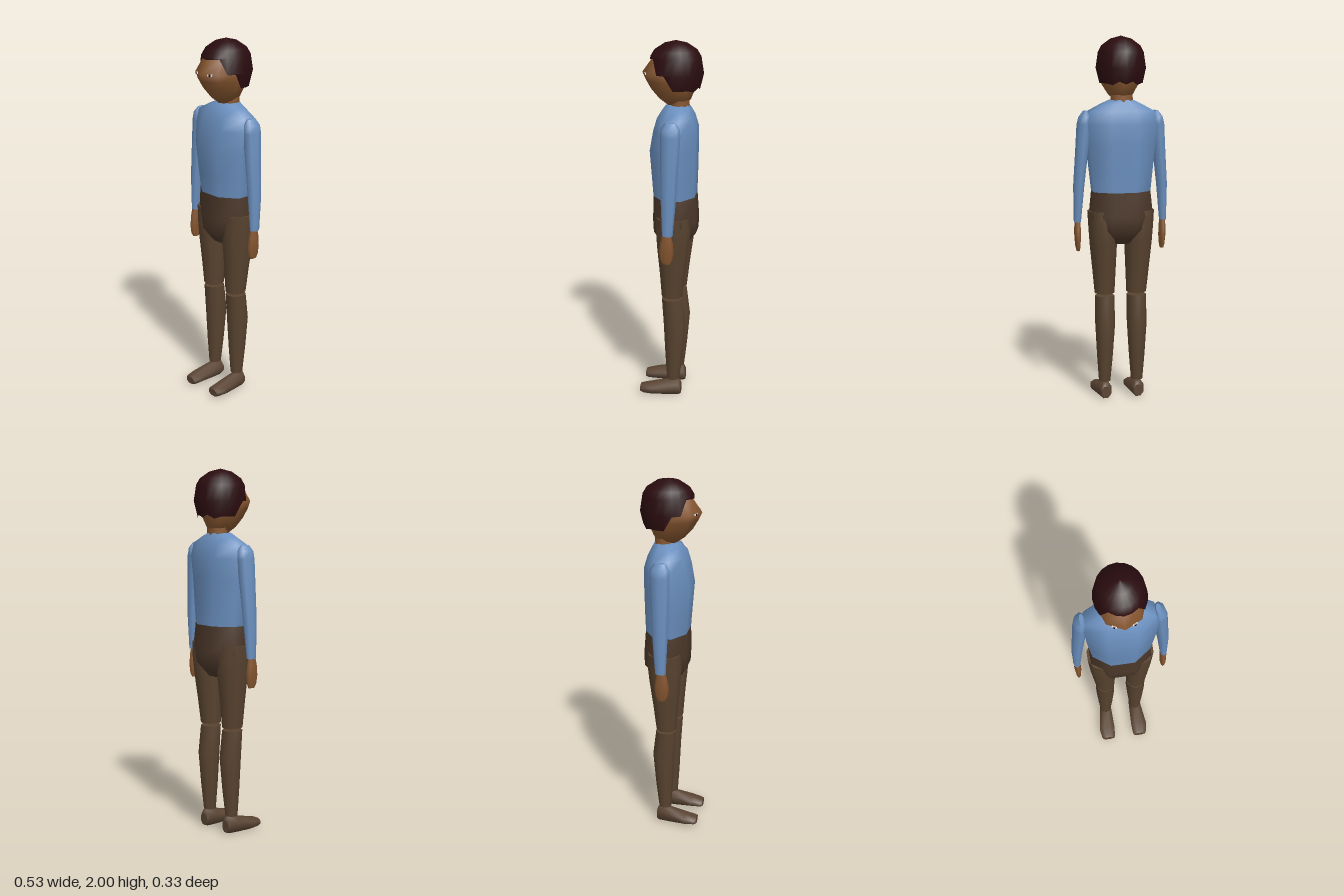
import * as THREE from 'three';

const mat = (name, color, side = THREE.FrontSide) => {
  const m = new THREE.MeshStandardMaterial({ color, side });
  m.name = name;
  return m;
};

// Smooth skin over a grid: n points around, m rings upwards, flat caps if wanted
function skin(n, m, point, capped = true) {
  const pos = [], idx = [];
  for (let j = 0; j < m; j++)
    for (let i = 0; i < n; i++) pos.push(...point(i, j));
  for (let j = 0; j < m - 1; j++)
    for (let i = 0; i < n; i++) {
      const k = (i + 1) % n, a = j * n + i, b = j * n + k;
      idx.push(a, b, b + n, a, b + n, a + n);
    }
  if (capped) for (const j of [0, m - 1]) {
    const base = pos.length / 3, mid = [0, 0, 0];
    for (let i = 0; i < n; i++) {
      const p = point(i, j);
      pos.push(...p);
      p.forEach((v, c) => { mid[c] += v / n; });
    }
    pos.push(...mid);
    for (let i = 0; i < n; i++) {
      const a = base + i, b = base + (i + 1) % n;
      idx.push(base + n, ...(j ? [a, b] : [b, a]));
    }
  }
  const g = new THREE.BufferGeometry();
  g.setAttribute('position', new THREE.Float32BufferAttribute(pos, 3));
  g.setIndex(idx);
  g.computeVertexNormals();
  return g;
}

// Rings: [y, half width, z back, z front, centre x]; half = flats face the axes
function loft(rings, n, half = false, sx = 1) {
  const k = half ? 1 / Math.cos(Math.PI / n) : 1;
  return skin(n, rings.length, (i, j) => {
    const [y, w, z0, z1, x = 0] = rings[j];
    const a = (i + (half ? 0.5 : 0)) / n * Math.PI * 2;
    return [x * sx + w * k * Math.sin(a), y, (z0 + z1) / 2 + (z1 - z0) / 2 * k * Math.cos(a)];
  });
}

export function createModel() {
  const group = new THREE.Group();
  const shirt = mat('shirt blue', 0x6a8fbe);
  const trousers = mat('trouser brown', 0x58432f);
  const hips = mat('hip brown', 0x4c382a);
  const shoe = mat('shoe brown', 0x5a4433);
  const flesh = mat('skin', 0x85552f);
  const hairMat = mat('hair', 0x2a0c0f, THREE.DoubleSide);
  const white = mat('eye white', 0xe8e4dc);
  const add = (name, geometry, material) => {
    const mesh = new THREE.Mesh(geometry, material);
    mesh.name = name;
    group.add(mesh);
    return mesh;
  };

  // Trunk
  add('torso', loft([
    [1.16, 0.155, -0.13, 0.092], [1.28, 0.168, -0.133, 0.1], [1.42, 0.182, -0.135, 0.11],
    [1.53, 0.19, -0.135, 0.09], [1.6, 0.178, -0.115, 0.07], [1.64, 0.105, -0.098, 0.046],
    [1.66, 0.062, -0.088, 0.03],
  ], 8, true), shirt);
  add('hips', loft([
    [0.88, 0.06, -0.08, 0.04], [0.91, 0.1, -0.1, 0.062], [0.96, 0.148, -0.138, 0.092],
    [1.03, 0.17, -0.14, 0.094], [1.165, 0.156, -0.131, 0.093],
  ], 8, true), hips);

  // Neck and head
  add('neck', loft([[1.62, 0.065, -0.095, 0.01], [1.73, 0.058, -0.09, 0.01]], 8), flesh);
  add('head', loft([
    [1.657, 0.03, -0.055, 0.025], [1.69, 0.07, -0.1, 0.07], [1.74, 0.1, -0.12, 0.113],
    [1.79, 0.12, -0.13, 0.142], [1.83, 0.124, -0.135, 0.16], [1.9, 0.1, -0.11, 0.11],
    [1.95, 0.06, -0.07, 0.05],
  ], 8), flesh);

  // Hair shell with a hem that drops from fringe to sideburns to nape
  const cols = 20;
  const profile = [[1.72, 0.8], [1.75, 0.87], [1.83, 1], [1.915, 0.91], [1.95, 0.77], [1.985, 0.42], [2, 0.02]];
  const hem = [1.9, 1.905, 1.91, 1.83, 1.83, 1.75, 1.75, 1.75, 1.74, 1.76, 1.745];
  const radius = (y) => {
    let i = 0;
    while (i < profile.length - 2 && y > profile[i + 1][0]) i++;
    const [y0, r0] = profile[i], [y1, r1] = profile[i + 1];
    return r0 + (r1 - r0) * (y - y0) / (y1 - y0);
  };
  const levels = [1.72, 1.83, 1.915, 1.95, 1.985, 2];
  add('hair', skin(cols, levels.length, (i, j) => {
    const a = i / cols * Math.PI * 2;
    const y = Math.max(levels[j], hem[Math.min(i, cols - i)] + j * 0.002);
    const r = radius(y);
    return [0.135 * r * Math.sin(a), y, -0.02 + 0.149 * r * Math.cos(a)];
  }, false), hairMat);

  for (const s of [1, -1]) {
    const side = s > 0 ? 'left' : 'right';
    const limb = (name, rings, n, material, half) =>
      add(side + name, loft(rings, n, half, s), material);

    // Eye: thin white plate with a smaller dark one on it
    for (const [name, w, out, m] of [['Eye', 0.026, 0, white], ['Pupil', 0.01, 0.003, hairMat]]) {
      const eye = add(side + name, new THREE.BoxGeometry(w, 0.01, 0.006), m);
      eye.position.set(s * (0.05 + out * 0.46), 1.83, 0.137 + out * 0.9);
      eye.rotation.y = s * 0.48;
    }

    // Arm and hand
    limb('Arm', [
      [1.0, 0.02, -0.04, 0.018, 0.24], [1.2, 0.031, -0.056, 0.026, 0.232],
      [1.38, 0.036, -0.066, 0.03, 0.216], [1.53, 0.041, -0.074, 0.032, 0.203],
      [1.57, 0.033, -0.072, 0.03, 0.201], [1.602, 0.012, -0.05, 0.01, 0.195],
    ], 8, shirt);
    limb('Hand', [
      [0.84, 0.009, -0.028, 0.016, 0.236], [0.865, 0.014, -0.04, 0.03, 0.237],
      [0.91, 0.018, -0.045, 0.035, 0.238], [0.96, 0.019, -0.04, 0.028, 0.239],
      [1.05, 0.012, -0.02, 0.005, 0.238],
    ], 8, flesh);

    // Leg, with a narrow gap at the knee
    limb('Thigh', [
      [0.6, 0.055, -0.07, 0.045, 0.09], [0.74, 0.065, -0.086, 0.055, 0.094],
      [0.88, 0.075, -0.105, 0.068, 0.098], [0.98, 0.08, -0.115, 0.074, 0.1],
      [1.06, 0.078, -0.11, 0.07, 0.107],
    ], 10, trousers);
    limb('Calf', [
      [0.1, 0.032, -0.055, 0.015, 0.092], [0.25, 0.044, -0.073, 0.025, 0.091],
      [0.43, 0.055, -0.089, 0.034, 0.09], [0.585, 0.054, -0.07, 0.044, 0.09],
    ], 10, trousers);

    // Foot is lofted from heel to toe, then laid along z (depth becomes -y)
    const foot = loft([
      [-0.064, 0.026, -0.075, -0.01, 0.092], [-0.05, 0.033, -0.1, -0.005, 0.092],
      [0.0, 0.037, -0.092, -0.003, 0.094], [0.1, 0.046, -0.068, -0.003, 0.1],
      [0.15, 0.041, -0.056, -0.005, 0.098], [0.166, 0.033, -0.05, -0.01, 0.097],
    ], 8, true, s);
    add(side + 'Foot', foot.rotateX(Math.PI / 2), shoe);
  }

  // Stand on the ground, centred front to back
  const box = new THREE.Box3().setFromObject(group);
  for (const part of group.children) {
    part.position.y -= box.min.y;
    part.position.z -= (box.min.z + box.max.z) / 2;
  }
  return group;
}
